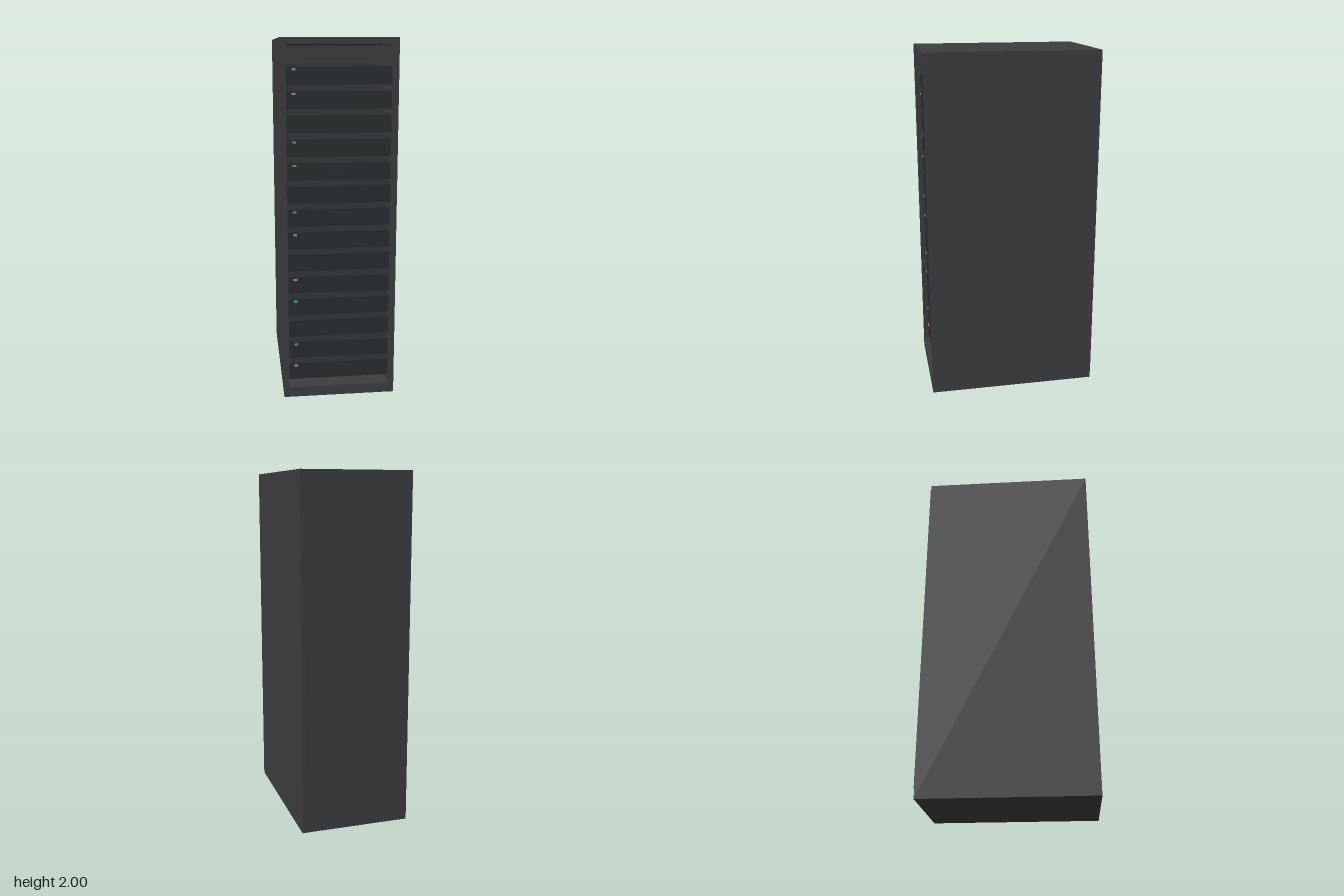
import * as THREE from 'three';

const W = 0.63, H = 2, FRONT = 0.49, BACK = -0.486; // cabinet envelope
const IN_X = 0.285, IN_BOTTOM = 0.057, IN_TOP = 1.965; // front opening
const WALL = 0.03;

const paint = (color) => new THREE.MeshStandardMaterial({ color });
const frameMat = paint(0x3c3d3f);
const unitMat = paint(0x282d2f);
const ledMats = { g: paint(0x3fae82), a: paint(0xd0913a) };

function addBox(parent, name, material, size, position) {
  const mesh = new THREE.Mesh(new THREE.BoxGeometry(...size), material);
  mesh.position.set(...position);
  mesh.name = name;
  parent.add(mesh);
  return mesh;
}

export function createModel() {
  const model = new THREE.Group();
  model.name = 'serverRack';

  // Open-fronted cabinet shell: rectangle with the opening cut through
  const outline = new THREE.Shape([
    new THREE.Vector2(-W / 2, 0), new THREE.Vector2(W / 2, 0),
    new THREE.Vector2(W / 2, H), new THREE.Vector2(-W / 2, H),
  ]);
  outline.holes.push(new THREE.Path([
    new THREE.Vector2(-IN_X, IN_BOTTOM), new THREE.Vector2(-IN_X, IN_TOP),
    new THREE.Vector2(IN_X, IN_TOP), new THREE.Vector2(IN_X, IN_BOTTOM),
  ]));
  const shell = new THREE.Mesh(
    new THREE.ExtrudeGeometry(outline, { depth: FRONT - BACK, bevelEnabled: false }), frameMat);
  shell.position.z = BACK;
  shell.name = 'cabinetShell';
  model.add(shell);

  // Back wall closing the shell, and the thin rear door
  addBox(model, 'backWall', frameMat, [IN_X * 2, IN_TOP - IN_BOTTOM, WALL],
    [0, (IN_TOP + IN_BOTTOM) / 2, BACK + WALL / 2]);
  addBox(model, 'rearDoor', frameMat, [0.6, 1.92, 0.006], [0, 1.02, BACK - 0.003]);

  // Stacked rack units, bottom to top: g green light, a amber light, - none
  const lights = 'ag-ga-gg-gg-ag';
  const unitH = 0.096, pitch = 0.1277, unitFront = 0.46, unitDepth = 0.85;
  [...lights].forEach((light, i) => {
    const unit = new THREE.Group();
    unit.name = `rackUnit${i + 1}`;
    unit.position.y = 0.143 + i * pitch;
    addBox(unit, 'unitBody', unitMat, [0.568, unitH, unitDepth], [0, 0, unitFront - unitDepth / 2]);
    if (ledMats[light]) {
      addBox(unit, 'statusLight', ledMats[light], [0.02, 0.011, 0.006], [-0.243, 0.033, unitFront + 0.002]);
    }
    model.add(unit);
  });

  return model;
}
